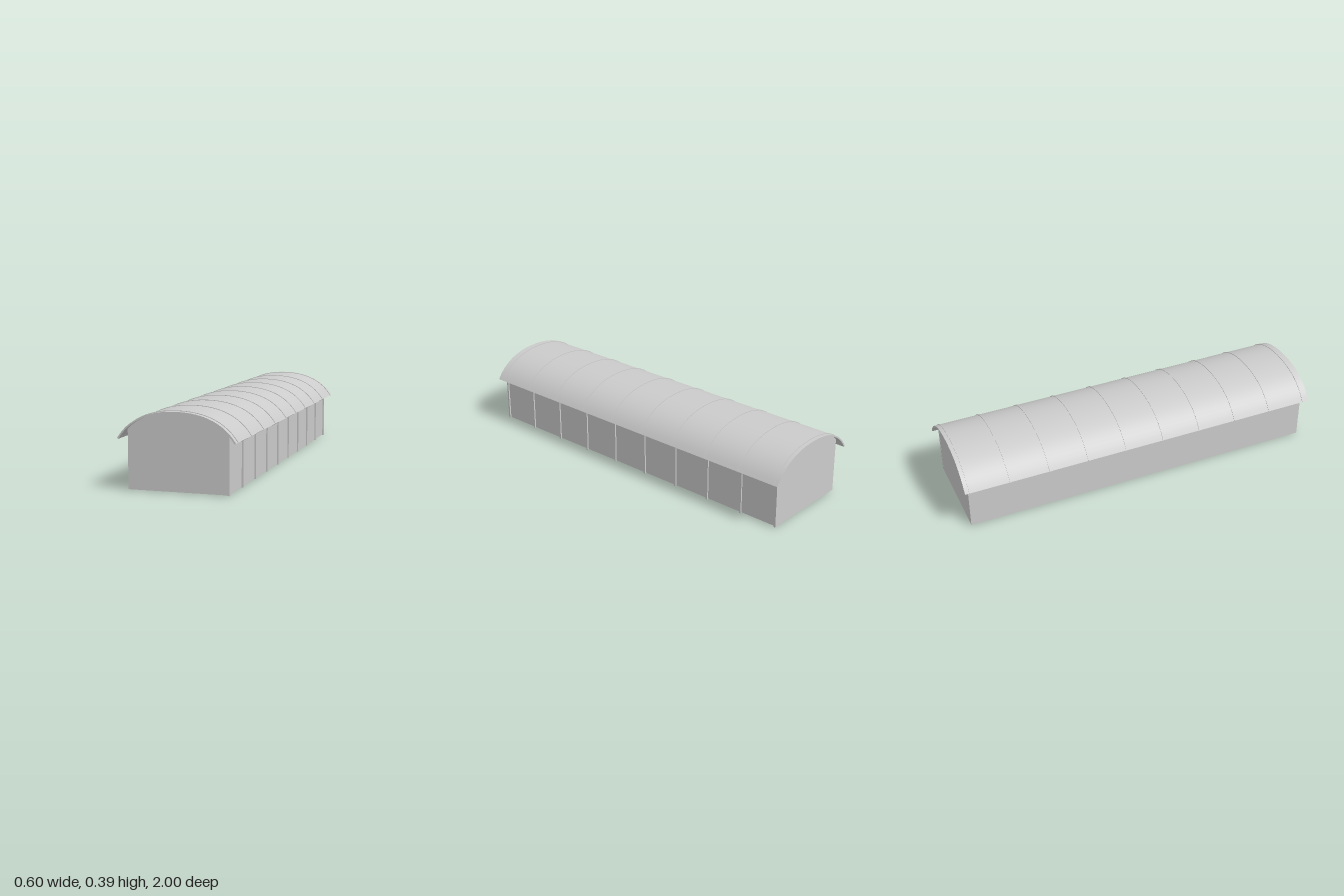
import * as THREE from 'three';
import { toCreasedNormals } from 'three/addons/utils/BufferGeometryUtils.js';

const v = (x, y) => new THREE.Vector2(x, y);
const SEGMENTS = 12; // per half of the arch

// Outermost line of the arch (top of the ribs), from crown to the +x eave
const halfArch = new THREE.CubicBezierCurve(v(0, 0.392), v(0.15, 0.392), v(0.245, 0.34), v(0.299, 0.254));

// Arch line moved inwards by an offset, listed from the -x eave to the +x eave
function archLine(offset) {
  const right = [];
  for (let i = 0; i <= SEGMENTS; i++) {
    const p = halfArch.getPoint(i / SEGMENTS);
    const t = halfArch.getTangent(i / SEGMENTS);
    right.push(v(p.x + t.y * offset, p.y - t.x * offset));
  }
  const left = right.slice(1).reverse().map((p) => v(-p.x, p.y));
  return [...left, ...right];
}

// Curved band between two offsets, extruded along z
function archBand(outer, inner, zMin, zMax) {
  const shape = new THREE.Shape([...archLine(outer), ...archLine(inner).reverse()]);
  const geometry = new THREE.ExtrudeGeometry(shape, { depth: zMax - zMin, bevelEnabled: false });
  geometry.translate(0, 0, zMin);
  return toCreasedNormals(geometry, 0.6);
}

export function createModel() {
  const group = new THREE.Group();
  const solid = new THREE.MeshStandardMaterial({ color: 0xcccccc });
  const thin = new THREE.MeshStandardMaterial({ color: 0xcccccc, side: THREE.DoubleSide });
  const add = (name, geometry, material, x = 0, y = 0, z = 0) => {
    const mesh = new THREE.Mesh(geometry, material);
    mesh.name = name;
    mesh.position.set(x, y, z);
    group.add(mesh);
  };

  const halfWidth = 0.25, base = 0.003, eave = 0.299;
  const zFront = 0.977, zBack = -0.973;

  // Arched roof shell
  add('roof', archBand(0.003, 0.011, -1, 1), solid);

  // End walls, with tops following the underside of the roof
  const top = archLine(0.01).filter((p) => Math.abs(p.x) < halfWidth - 0.004);
  const endWall = new THREE.ShapeGeometry(new THREE.Shape([
    v(-halfWidth, base), v(-halfWidth, eave), ...top, v(halfWidth, eave), v(halfWidth, base),
  ]));
  add('frontWall', endWall, thin, 0, 0, zFront);
  add('backWall', endWall, thin, 0, 0, zBack);

  // Long side walls; the floor is left open
  const sideWall = new THREE.PlaneGeometry(zFront - zBack, eave - base);
  sideWall.rotateY(Math.PI / 2);
  for (const [name, side] of [['leftWall', 1], ['rightWall', -1]]) {
    add(name, sideWall, thin, side * halfWidth, (eave + base) / 2, (zFront + zBack) / 2);
  }

  // Roof ribs, and posts along the +x wall
  const rib = archBand(0, 0.006, -0.005, 0.005);
  const post = new THREE.BoxGeometry(0.013, 0.292, 0.01);
  for (let i = 0; i < 10; i++) {
    add('roofRib', rib, solid, 0, 0, 0.966 - i * 0.2155);
    add('wallPost', post, solid, 0.2515, 0.146, 0.971 - i * 0.2155);
  }
  return group;
}
